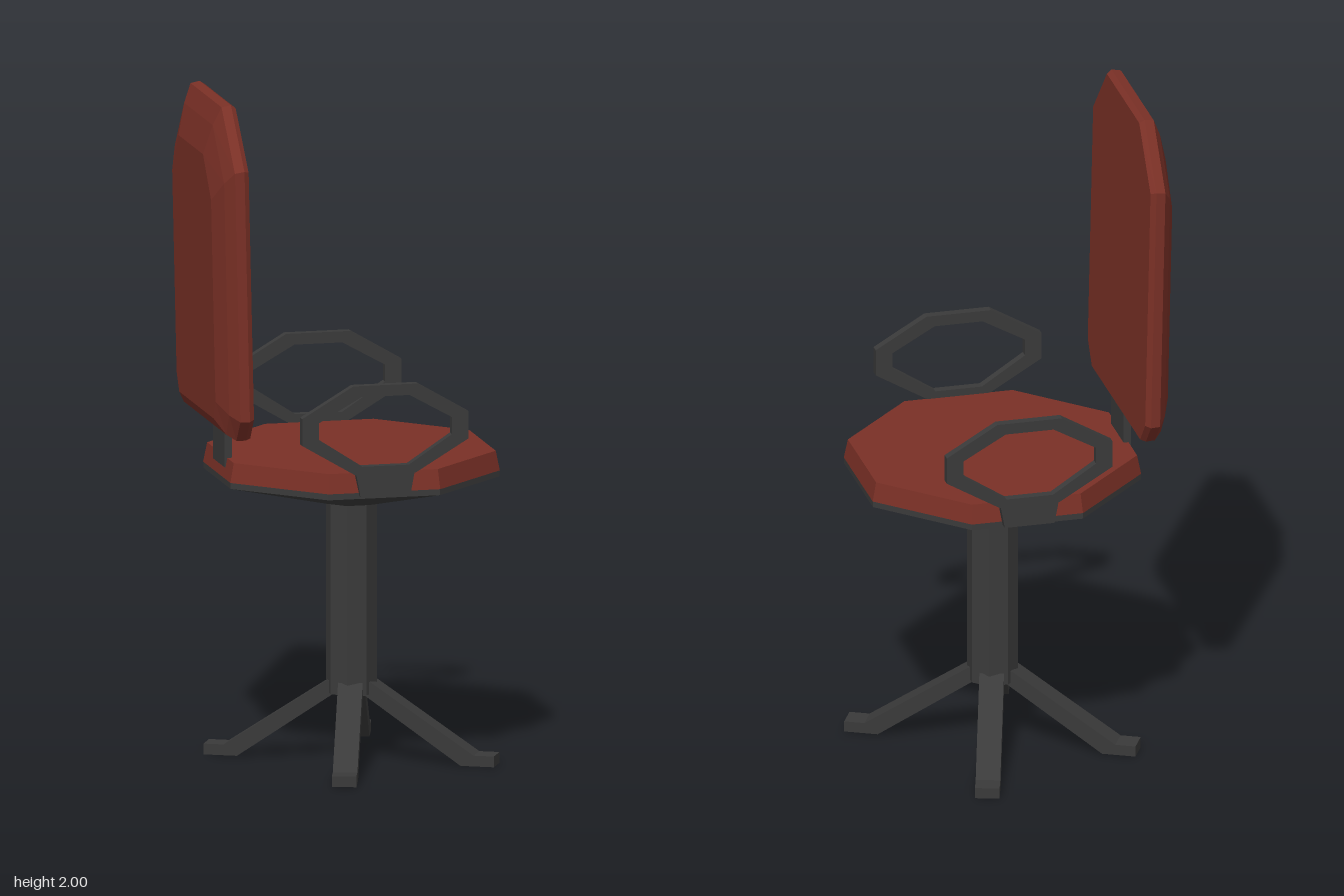
import * as THREE from 'three';

const red = new THREE.MeshStandardMaterial({ color: 0x7a3026 });
red.name = 'dark red upholstery';
const grey = new THREE.MeshStandardMaterial({ color: 0x3a3a3a });
grey.name = 'charcoal metal';

// Faceted mesh: every face gets its own normal
function part(name, geometry, material) {
  const g = geometry.index ? geometry.toNonIndexed() : geometry;
  g.computeVertexNormals();
  const mesh = new THREE.Mesh(g, material);
  mesh.name = name;
  return mesh;
}

// Eight-sided disc or cone with a flat side facing forward
function octagon(name, rTop, rBottom, y0, y1, material) {
  const g = new THREE.CylinderGeometry(rTop, rBottom, y1 - y0, 8, 1, false, Math.PI / 8);
  g.translate(0, (y0 + y1) / 2, 0);
  return part(name, g, material);
}

const points = (list) => list.map(([x, y]) => new THREE.Vector2(x, y));

// Extruded plate centred on its own plane
function plate(name, outline, hole, depth, material) {
  const shape = new THREE.Shape(points(outline));
  if (hole) shape.holes.push(new THREE.Path(points(hole)));
  const g = new THREE.ExtrudeGeometry(shape, { depth, bevelEnabled: false });
  g.translate(0, 0, -depth / 2);
  return part(name, g, material);
}

// Chamfered rectangle, mirrored left to right, counter-clockwise from bottom right
function chamfered(half, top, bottom, y0, y1, y2, y3) {
  return [[bottom, y0], [half, y1], [half, y2], [top, y3],
    [-top, y3], [-half, y2], [-half, y1], [-bottom, y0]];
}

// Backrest: eight-sided sections from front to back, leaning slightly backwards
function backrest() {
  const layers = [
    [-0.375, chamfered(0.332, 0.187, 0.28, 1.025, 1.09, 1.825, 1.99)],
    [-0.39, chamfered(0.343, 0.192, 0.288, 1.02, 1.085, 1.83, 2.0)],
    [-0.418, chamfered(0.34, 0.19, 0.285, 1.02, 1.085, 1.825, 1.995)],
    [-0.442, chamfered(0.302, 0.175, 0.26, 1.035, 1.1, 1.79, 1.94)],
    [-0.467, chamfered(0.238, 0.15, 0.21, 1.075, 1.13, 1.73, 1.85)],
  ];
  const position = [], index = [];
  for (const [z, ring] of layers) {
    for (const [x, y] of ring) position.push(x - 0.01, y, z - 0.022 * (y - 1.02));
  }
  for (let l = 0; l < layers.length - 1; l++) {
    for (let i = 0; i < 8; i++) {
      const a = l * 8 + i, b = l * 8 + (i + 1) % 8;
      index.push(a, a + 8, b, b, a + 8, b + 8);
    }
  }
  const last = (layers.length - 1) * 8;
  for (let i = 1; i < 7; i++) {
    index.push(0, i, i + 1);
    index.push(last, last + i + 1, last + i);
  }
  const g = new THREE.BufferGeometry();
  g.setAttribute('position', new THREE.Float32BufferAttribute(position, 3));
  g.setIndex(index);
  return part('backrest', g, red);
}

// Armrest: hollow eight-sided ring with a bracket fixing it to the seat side
function armrest(name, x) {
  const arm = new THREE.Group();
  arm.name = name;
  arm.add(plate('armRing',
    chamfered(0.25, 0.097, 0.09, 0.925, 1.02, 1.1, 1.19),
    chamfered(0.2, 0.072, 0.07, 0.95, 1.035, 1.085, 1.157), 0.026, grey));
  arm.add(plate('armBracket',
    [[-0.075, 0.86], [0.075, 0.86], [0.088, 0.93], [0.075, 0.945], [-0.075, 0.945], [-0.088, 0.93]],
    null, 0.0255, grey));
  arm.rotation.y = Math.PI / 2;
  arm.position.x = x;
  return arm;
}

export function createModel() {
  const model = new THREE.Group();
  model.name = 'swivelChair';
  const cx = 0.0425, cz = 0.0175;

  // Upper chair, turned on its column
  const upper = new THREE.Group();
  upper.name = 'swivelSeat';
  upper.position.set(cx, 0, cz);
  upper.rotation.y = 0.927;
  model.add(upper);

  upper.add(octagon('seatCushion', 0.426, 0.438, 0.87, 0.928, red));
  upper.add(octagon('seatPan', 0.437, 0.437, 0.852, 0.87, grey));
  upper.add(octagon('seatUnderside', 0.437, 0.09, 0.768, 0.852, grey));
  upper.add(octagon('column', 0.075, 0.075, 0.2, 0.775, grey));
  upper.add(backrest());

  const support = new THREE.BoxGeometry(0.146, 0.2, 0.022);
  support.translate(-0.01, 1.0, -0.39);
  upper.add(part('backSupport', support, grey));

  upper.add(armrest('leftArmrest', 0.418));
  upper.add(armrest('rightArmrest', -0.404));

  // Four splayed legs with flat feet
  const base = new THREE.Group();
  base.name = 'legBase';
  base.position.set(cx, 0, cz);
  const profile = [[0.435, 0], [0.435, 0.032], [0.375, 0.032], [0.065, 0.237],
    [0.0, 0.237], [0.0, 0.195], [0.05, 0.195], [0.335, 0]];
  for (const degrees of [63.8, 143.5, 243.8, 323.5]) {
    const leg = plate('leg', profile.slice().reverse(), null, 0.072, grey);
    leg.rotation.y = -THREE.MathUtils.degToRad(degrees);
    base.add(leg);
  }
  model.add(base);
  return model;
}
